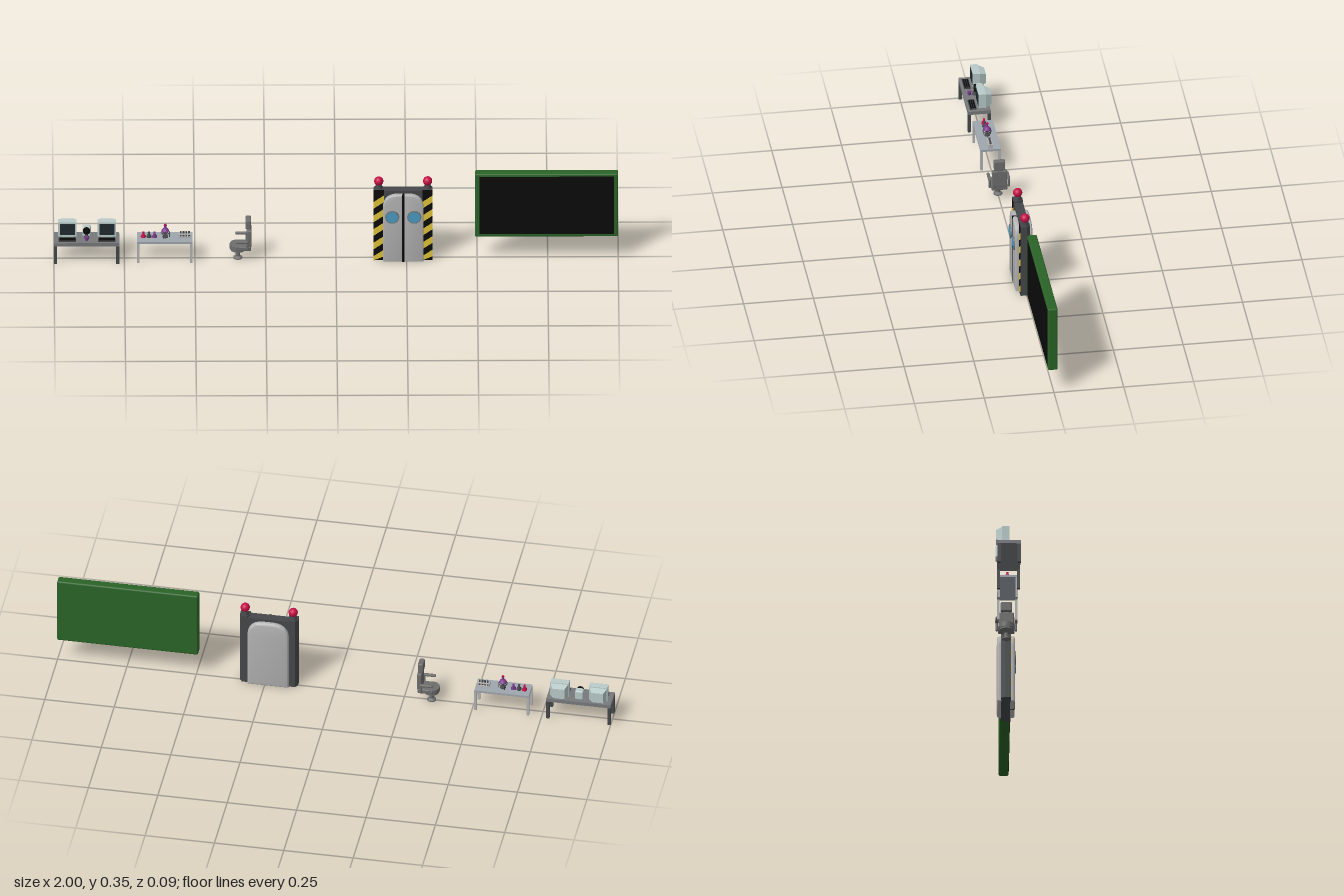
import * as THREE from 'three';
import { toCreasedNormals } from 'three/addons/utils/BufferGeometryUtils.js';
import { RoundedBoxGeometry } from 'three/addons/geometries/RoundedBoxGeometry.js';

const mat = (color) => new THREE.MeshStandardMaterial({ color });
const M = {
  green: mat(0x2a6426), black: mat(0x0b0b0b), dark: mat(0x45474a), steel: mat(0x77797b),
  light: mat(0xb4b4b4), top: mat(0xa0a6ae), yellow: mat(0xe0c63a), red: mat(0xc80f48),
  blue: mat(0x4a9cc4), casing: mat(0xb9cbc9), glass: mat(0x202a30), purple: mat(0x7a3a8c), chair: mat(0x6e6e6e),
};

function add(parent, name, geo, m, x = 0, y = 0, z = 0) {
  const mesh = new THREE.Mesh(geo, m);
  mesh.name = name;
  mesh.position.set(x, y, z);
  parent.add(mesh);
  return mesh;
}
// box given by its limits on each axis
function box(parent, name, m, x0, x1, y0, y1, z0, z1) {
  return add(parent, name, new THREE.BoxGeometry(x1 - x0, y1 - y0, z1 - z0), m,
    (x0 + x1) / 2, (y0 + y1) / 2, (z0 + z1) / 2);
}
const cyl = (rt, rb, h, n = 20) => new THREE.CylinderGeometry(rt, rb, h, n);
function lathe(points, n = 24) {
  return toCreasedNormals(new THREE.LatheGeometry(points.map(([r, y]) => new THREE.Vector2(r, y)), n), 0.6);
}
function polygon(points) {
  return new THREE.Shape(points.map(([x, y]) => new THREE.Vector2(x, y)));
}
function group(parent, name) {
  const g = new THREE.Group();
  g.name = name;
  parent.add(g);
  return g;
}

// wall display with a raised frame
function buildScreen(root) {
  const g = group(root, 'wallScreen');
  add(g, 'screenFrame', new RoundedBoxGeometry(0.508, 0.255, 0.035, 2, 0.006), M.green, 0.746, 0.22, 0.0035);
  box(g, 'screenPanel', M.black, 0.508, 0.985, 0.105, 0.337, 0.01, 0.0222);
}

// arched door panel, rounded at the chosen top corners
function archPanel(x0, x1, h, rl, rr, depth, bevel) {
  const s = new THREE.Shape();
  const b = bevel;
  x0 += b; x1 -= b; h -= b;
  s.moveTo(x0, b);
  s.lineTo(x1, b);
  s.lineTo(x1, h - rr);
  if (rr) s.quadraticCurveTo(x1, h, x1 - rr, h); 
  s.lineTo(x0 + rl, h);
  if (rl) s.quadraticCurveTo(x0, h, x0, h - rl);
  const geo = new THREE.ExtrudeGeometry(s, {
    depth: depth - b, bevelEnabled: true, bevelSize: b, bevelThickness: b, bevelSegments: 3, curveSegments: 12,
  });
  return toCreasedNormals(geo, 0.7);
}

function buildDoor(root) {
  const g = group(root, 'slidingDoor');
  const cx = 0.238;
  box(g, 'doorFrame', M.dark, cx - 0.085, cx + 0.085, 0, 0.28, -0.013, 0.019);
  for (const s of [-1, 1]) {
    // leaf and porthole
    const leaf = s < 0 ? archPanel(-0.072, -0.002, 0.27, 0.05, 0, 0.016, 0.005)
      : archPanel(0.002, 0.072, 0.27, 0, 0.05, 0.016, 0.005);
    add(g, 'doorLeaf', leaf, M.light, cx, 0, 0.019);
    const rim = add(g, 'portholeRim', cyl(0.025, 0.025, 0.006, 32), M.steel, cx + s * 0.039, 0.183, 0.036);
    const pane = add(g, 'portholeGlass', cyl(0.021, 0.021, 0.007, 32), M.blue, cx + s * 0.039, 0.183, 0.0365);
    rim.rotation.x = pane.rotation.x = Math.PI / 2;

    // pillar, flat in front and chamfered behind
    const px = cx + s * 0.0865;
    const post = new THREE.ExtrudeGeometry(polygon([
      [-0.018, -0.021], [0.018, -0.021], [0.018, 0.001], [0.009, 0.014], [-0.009, 0.014], [-0.018, 0.001],
    ]), { depth: 0.285, bevelEnabled: false });
    post.rotateX(-Math.PI / 2);
    add(g, 'pillar', post, M.dark, px);
    box(g, 'pillarFront', M.black, px - 0.018, px + 0.018, 0, 0.285, 0.021, 0.0215);

    // slanted warning stripes, cut off at the pillar ends
    for (let y = -0.01; y < 0.25; y += 0.055) {
      const lo = Math.max(y, 0);
      const stripe = polygon([[-0.018, lo], [0.018, y + 0.026], [0.018, y + 0.053], [-0.018, y + 0.027]]);
      add(g, 'warningStripe', new THREE.ExtrudeGeometry(stripe, { depth: 0.0008, bevelEnabled: false }),
        M.yellow, px, 0, 0.0213);
    }
    add(g, 'lampBase', cyl(0.011, 0.014, 0.014), M.dark, px, 0.291, 0.0035);
    add(g, 'warningLamp', new THREE.SphereGeometry(0.0165, 24, 16), M.red, px, 0.312, 0.0035);
  }
  box(g, 'doorSeam', M.black, cx - 0.004, cx + 0.004, 0, 0.27, 0.019, 0.0355);
  const back = archPanel(-0.074, 0.074, 0.27, 0.05, 0.05, 0.016, 0.009);
  back.rotateY(Math.PI);
  add(g, 'doorBack', back, M.light, cx, 0, -0.012);
}

// table top on four legs
function buildTable(root, name, x0, x1, z0, z1, y0, y1, leg, topMat, legMat) {
  const g = group(root, name);
  box(g, 'tableTop', topMat, x0, x1, y0, y1, z0, z1);
  for (const x of [x0, x1 - leg]) {
    for (const z of [z0, z1 - leg]) box(g, 'tableLeg', legMat, x, x + leg, 0, y0, z, z + leg);
  }
  return g;
}

function buildComputerDesk(root) {
  const g = buildTable(root, 'computerDesk', -1, -0.768, -0.038, 0.044, 0.072, 0.085, 0.011, M.steel, M.dark);
  for (const x of [-0.952, -0.812]) {
    // monitor with a tapered rear housing
    const m = group(g, 'monitor');
    m.position.set(x, 0.086, 0);
    box(m, 'monitorFoot', M.casing, -0.02, 0.02, -0.001, 0.006, -0.03, 0.0);
    box(m, 'monitorCase', M.casing, -0.033, 0.033, 0.004, 0.06, -0.022, 0.004);
    const rear = new THREE.CylinderGeometry(0.031 * Math.SQRT2, 0.022 * Math.SQRT2, 0.022, 4).toNonIndexed();
    rear.rotateY(Math.PI / 4).rotateX(Math.PI / 2).scale(1, 0.85, 1);
    rear.computeVertexNormals();
    add(m, 'monitorRear', rear, M.casing, 0, 0.031, -0.033);
    box(m, 'monitorScreen', M.glass, -0.027, 0.027, 0.01, 0.054, 0.004, 0.005);
    // keyboard
    box(g, 'keyboard', M.dark, x - 0.031, x + 0.031, 0.085, 0.089, 0.011, 0.035);
    for (let r = 0; r < 3; r++) {
      box(g, 'keyRow', M.black, x - 0.028, x + 0.028, 0.089, 0.0905, 0.0135 + r * 0.007, 0.0185 + r * 0.007);
    }
  }
  // small desk device with a round dial, and a cup
  add(g, 'deskDevice', new RoundedBoxGeometry(0.03, 0.038, 0.026, 3, 0.006), M.casing, -0.884, 0.104, -0.014);
  const dial = add(g, 'deviceDial', cyl(0.013, 0.013, 0.008), M.black, -0.884, 0.111, 0.001);
  dial.rotation.x = Math.PI / 2;
  add(g, 'deviceStand', cyl(0.004, 0.01, 0.014), M.dark, -0.884, 0.092, 0.004);
  add(g, 'cup', cyl(0.007, 0.006, 0.013), M.purple, -0.884, 0.0915, 0.022);
}

function buildLabTable(root) {
  const g = buildTable(root, 'labTable', -0.705, -0.508, -0.035, 0.038, 0.077, 0.085, 0.009, M.top, M.light);
  // row of small flasks
  const flask = [[0, 0], [0.009, 0], [0.009, 0.004], [0.0035, 0.013], [0.0035, 0.019], [0.0045, 0.02], [0, 0.02]];
  [M.red, M.dark, M.purple].forEach((m, i) => add(g, 'flask', lathe(flask), m, -0.683 + i * 0.02, 0.085, 0));
  // large flask on a burner stand
  const s = group(g, 'burnerStand');
  s.position.set(-0.605, 0.085, 0);
  add(s, 'burner', lathe([[0, 0], [0.01, 0], [0.01, 0.004], [0.004, 0.007], [0.004, 0.016], [0, 0.016]]), M.dark);
  const ring = add(s, 'standRing', new THREE.TorusGeometry(0.015, 0.0015, 8, 24), M.dark, 0, 0.019, 0);
  ring.rotation.x = Math.PI / 2;
  for (let i = 0; i < 3; i++) {
    const a = i * Math.PI * 2 / 3;
    add(s, 'standLeg', cyl(0.0015, 0.0015, 0.019, 8), M.dark, 0.015 * Math.cos(a), 0.0095, 0.015 * Math.sin(a));
  }
  add(s, 'roundFlask', lathe([[0, 0.018], [0.009, 0.019], [0.014, 0.026], [0.009, 0.034], [0.004, 0.037],
    [0.004, 0.046], [0.006, 0.047], [0, 0.047]]), M.purple);
  add(s, 'flaskStopper', cyl(0.004, 0.0035, 0.005), M.red, 0, 0.049, 0);
  // test tube rack
  for (const y of [0.086, 0.098]) box(g, 'rackShelf', M.light, -0.558, -0.514, y - 0.001, y + 0.002, -0.008, 0.008);
  for (const x of [-0.558, -0.517]) box(g, 'rackEnd', M.light, x, x + 0.003, 0.085, 0.1, -0.008, 0.008);
  for (let i = 0; i < 4; i++) add(g, 'testTube', cyl(0.0032, 0.0032, 0.02, 12), M.dark, -0.55 + i * 0.0095, 0.098, 0);
}

// swivel chair facing -x
function buildChair(root) {
  const g = group(root, 'chair');
  g.position.x = -0.342;
  add(g, 'pedestal', lathe([[0, 0], [0.016, 0], [0.016, 0.004], [0.008, 0.01], [0.008, 0.024],
    [0.026, 0.034], [0.026, 0.04], [0, 0.04]]), M.chair, -0.006);
  const rounded = (name, x, y, z, w, h, d) =>
    add(g, name, new RoundedBoxGeometry(w, h, d, 2, 0.004), M.chair, x, y, z);
  add(g, 'seatFront', cyl(0.029, 0.029, 0.018, 28), M.chair, -0.006, 0.049, 0);
  rounded('seat', 0.012, 0.05, 0, 0.056, 0.018, 0.058);
  rounded('backrest', 0.034, 0.088, 0, 0.017, 0.066, 0.054);
  rounded('neck', 0.037, 0.122, 0, 0.008, 0.02, 0.022);
  rounded('headrest', 0.031, 0.143, 0, 0.02, 0.036, 0.04);
  for (const s of [-1, 1]) {
    rounded('armrest', 0.008, 0.081, s * 0.034, 0.046, 0.01, 0.011);
    rounded('armSupport', 0.027, 0.064, s * 0.034, 0.01, 0.034, 0.009);
  }
}

export function createModel() {
  const root = new THREE.Group();
  root.name = 'laboratorySet';
  buildScreen(root);
  buildDoor(root);
  buildComputerDesk(root);
  buildLabTable(root);
  buildChair(root);
  return root;
}
